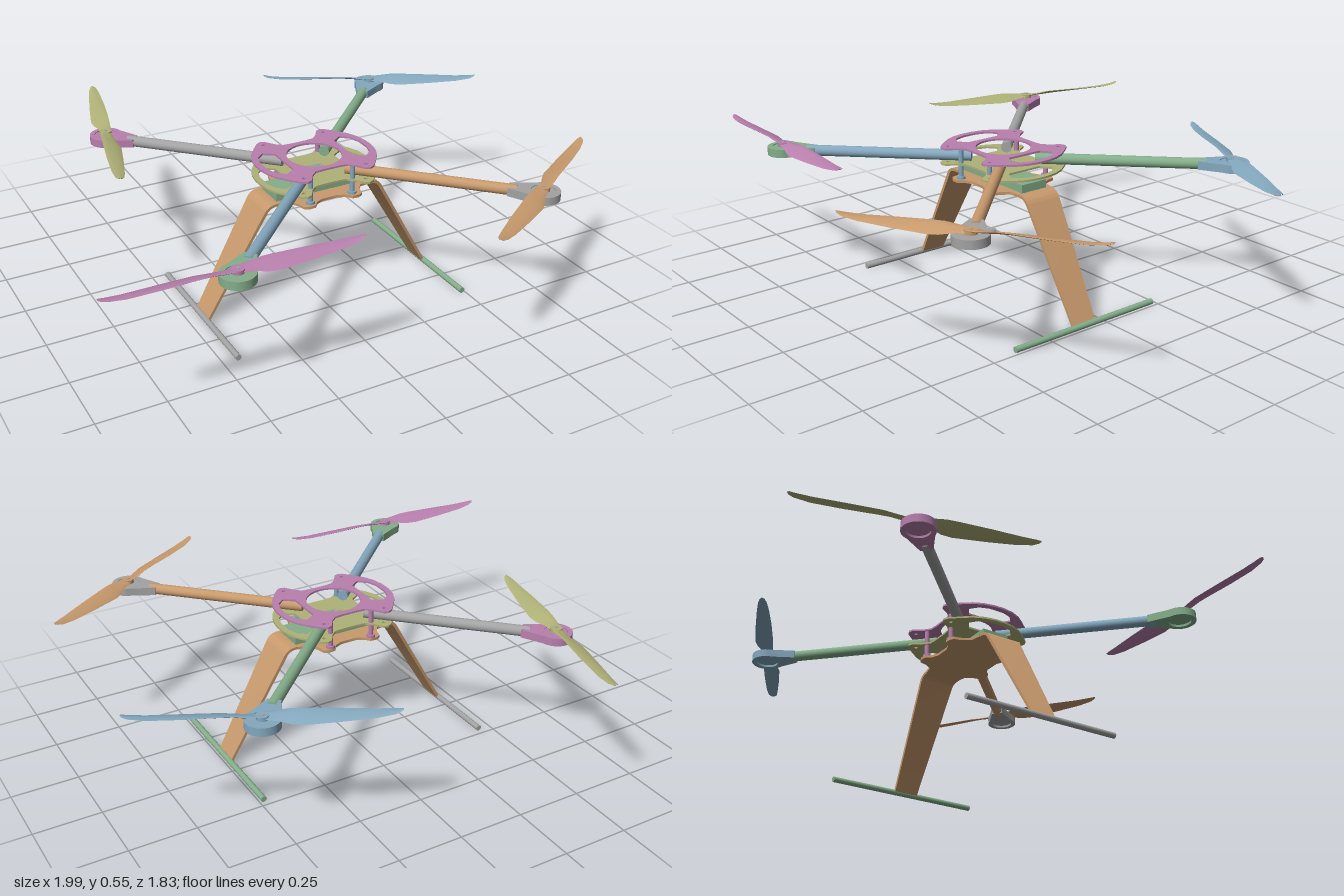
import * as THREE from 'three';
import { toCreasedNormals } from 'three/addons/utils/BufferGeometryUtils.js';

const mat = (name, color) => Object.assign(new THREE.MeshStandardMaterial({ color }), { name });

export function createModel() {
  const pink = mat('pink', 0xb980ae), green = mat('green', 0x84ae8a), blue = mat('blue', 0x84a8be);
  const olive = mat('olive', 0xb0b278), orange = mat('orange', 0xc89a6d), gray = mat('gray', 0xa3a3a3);

  const model = new THREE.Group();
  model.name = 'quadcopter';
  const body = new THREE.Group();
  body.name = 'airframe';
  body.position.set(0.02, 0, 0.085);
  model.add(body);

  const add = (parent, name, geometry, material, x = 0, y = 0, z = 0) => {
    const mesh = new THREE.Mesh(geometry, material);
    mesh.name = name;
    mesh.position.set(x, y, z);
    parent.add(mesh);
    return mesh;
  };
  const cyl = (r, h, n = 20) => new THREE.CylinderGeometry(r, r, h, n);

  // Horizontal plate: shape y becomes z, and the top lies at y = 0
  const plate = (shape, depth) => {
    const g = new THREE.ExtrudeGeometry(shape, { depth, bevelEnabled: false, curveSegments: 16 });
    return toCreasedNormals(g.rotateX(Math.PI / 2), 0.6);
  };
  // Closed outline mirrored from one quarter, running from the x axis to the z axis
  const mirrored = (q) => {
    const back = [...q].reverse();
    return new THREE.Shape([
      ...q, ...back.map(([x, z]) => [-x, z]),
      ...q.map(([x, z]) => [-x, -z]), ...back.map(([x, z]) => [x, -z]),
    ].map(([x, z]) => new THREE.Vector2(x, z)));
  };
  const hole = (shape, x, z, rx, rz = rx) => {
    const p = new THREE.Path();
    p.absellipse(x, z, rx, rz, 0, Math.PI * 2, true);
    shape.holes.push(p);
  };

  // Top and lower frame plates with side windows
  const quarter = [[0.226, 0.02], [0.218, 0.065], [0.2, 0.105], [0.17, 0.145], [0.142, 0.178], [0.125, 0.186],
    [0.108, 0.18], [0.085, 0.145], [0.062, 0.125], [0.03, 0.122]];
  const framePlate = (centreX, centreZ) => {
    const s = mirrored(quarter);
    hole(s, 0, 0, centreX, centreZ);
    for (const sx of [1, -1]) {
      const pts = [[0.122, -0.07], [0.16, -0.095], [0.19, -0.07], [0.203, -0.03], [0.203, 0.03],
        [0.19, 0.07], [0.16, 0.095], [0.122, 0.07]];
      s.holes.push(new THREE.Path(pts.map(([x, z]) => new THREE.Vector2(sx * x, z))));
      for (const sz of [1, -1]) hole(s, sx * 0.125, sz * 0.155, 0.007);
    }
    return plate(s, 0.007);
  };
  add(body, 'topPlate', framePlate(0.1, 0.1), pink, 0, 0.547, 0);
  add(body, 'lowerPlate', framePlate(0.045, 0.025), olive, 0, 0.489, 0);

  // Small circuit board and its chips
  add(body, 'circuitBoard', new THREE.BoxGeometry(0.06, 0.004, 0.045), green, 0.01, 0.493, 0);
  for (const x of [-0.01, 0.03]) add(body, 'chip', new THREE.BoxGeometry(0.014, 0.005, 0.02), gray, x, 0.4965, 0);

  // Battery with end tabs showing through the windows
  add(body, 'battery', new THREE.BoxGeometry(0.37, 0.03, 0.11), green, 0, 0.445, 0.007);

  // Standoff posts
  for (const sx of [1, -1]) for (const sz of [1, -1]) {
    const m = sz > 0 ? blue : pink;
    add(body, 'standoff', cyl(0.009, 0.118), m, sx * 0.085, 0.484, sz * 0.128);
    add(body, 'standoffFoot', cyl(0.016, 0.01), m, sx * 0.085, 0.434, sz * 0.128);
  }

  // Landing gear: bent strip, narrower toward the ground
  const strip = new THREE.Shape();
  strip.moveTo(-0.467, 0.01);
  strip.lineTo(-0.24, 0.405);
  strip.quadraticCurveTo(-0.225, 0.43, -0.195, 0.43);
  strip.lineTo(0.195, 0.43);
  strip.quadraticCurveTo(0.225, 0.43, 0.24, 0.405);
  strip.lineTo(0.467, 0.01);
  strip.lineTo(0.455, 0.01);
  strip.lineTo(0.229, 0.4);
  strip.quadraticCurveTo(0.218, 0.42, 0.193, 0.42);
  strip.lineTo(-0.193, 0.42);
  strip.quadraticCurveTo(-0.218, 0.42, -0.229, 0.4);
  strip.lineTo(-0.455, 0.01);
  strip.closePath();
  const gear = new THREE.ExtrudeGeometry(strip, { depth: 2, bevelEnabled: false, curveSegments: 8 });
  gear.translate(0, 0, -1);
  const gp = gear.attributes.position;
  for (let i = 0; i < gp.count; i++) gp.setZ(i, gp.getZ(i) * (0.049 + 0.055 * gp.getY(i)));
  add(body, 'landingLegs', toCreasedNormals(gear, 0.6), orange, 0, 0, 0.008);
  const deck = mirrored([[0.19, 0.03], [0.185, 0.072], [0.145, 0.08], [0.125, 0.11], [0.118, 0.14], [0.1, 0.15],
    [0.075, 0.148], [0.06, 0.128], [0.03, 0.115]]);
  add(body, 'landingDeck', plate(deck, 0.0102), orange, 0, 0.4301, 0.004);

  // Ground skids
  for (const sx of [1, -1]) {
    add(body, 'skid', cyl(0.011, 0.63), sx > 0 ? green : gray, sx * 0.465, 0.011, 0).rotation.x = Math.PI / 2;
  }

  // Propeller blade lofted from lens sections: radius, straight edge, bulged edge, height, tilt
  const sections = [
    [0, -0.02, 0.02, 0, 0.1], [0.05, -0.022, 0.024, 0, 0.3], [0.09, -0.022, 0.037, 0, 0.4],
    [0.13, -0.022, 0.044, 0, 0.35], [0.25, -0.02, 0.039, 0, 0.25], [0.36, -0.014, 0.031, 0.001, 0.15],
    [0.415, -0.007, 0.025, 0.006, 0.1], [0.434, 0, 0.019, 0.011, 0], [0.44, 0.008, 0.011, 0.014, 0],
  ];
  const bladeGeometry = (side) => {
    const n = 10, pos = [], index = [];
    sections.forEach(([r, a, b, y, tilt], i) => {
      const mid = (a + b) / 2, half = (b - a) / 2, thick = 0.0045 * (1 - 0.6 * r / 0.44);
      for (let j = 0; j < n; j++) {
        const t = j / n * Math.PI * 2, w = half * Math.cos(t);
        pos.push(r, y - tilt * w + thick * Math.sin(t), side * (mid + w));
        if (i === sections.length - 1) continue;
        const k = (j + 1) % n, p = i * n + j, q = i * n + k;
        const tris = [p, p + n, q, q, p + n, q + n];
        index.push(...(side > 0 ? tris : tris.reverse()));
      }
    });
    const g = new THREE.BufferGeometry();
    g.setAttribute('position', new THREE.Float32BufferAttribute(pos, 3));
    g.setIndex(index);
    return toCreasedNormals(g, 0.9);
  };

  // Motor mount: teardrop pod with an open centre
  const pod = new THREE.Shape();
  pod.absarc(0, 0, 0.06, -2.2, 2.2, false);
  pod.lineTo(-0.12, 0.023);
  pod.lineTo(-0.12, -0.023);
  pod.closePath();
  hole(pod, 0, 0, 0.042);
  const podGeometry = plate(pod, 0.03);

  // Four arms: direction, arm, mount and propeller colours, blade angle and handedness
  const arms = [
    [-1, -1, gray, pink, olive, 1.32, -1],
    [1, -1, green, blue, blue, -0.464, 1],
    [-1, 1, blue, green, pink, -0.015, 1],
    [1, 1, orange, gray, orange, 0.566, -1],
  ];
  for (const [sx, sz, armMat, mountMat, propMat, angle, side] of arms) {
    const unit = new THREE.Group();
    unit.name = 'armUnit';
    unit.position.set(sx * 0.58, 0, sz * 0.575);
    unit.rotation.y = Math.atan2(-sz, sx);
    body.add(unit);
    add(unit, 'arm', cyl(0.02, 0.61, 24), armMat, -0.395, 0.508, 0).rotation.z = Math.PI / 2;
    add(unit, 'motorMount', podGeometry, mountMat, 0, 0.522, 0);
    add(unit, 'motor', cyl(0.043, 0.018, 32), mountMat, 0, 0.51, 0);

    const propeller = new THREE.Group();
    propeller.name = 'propeller';
    propeller.position.set(sx * 0.58, 0.531, sz * 0.575);
    propeller.rotation.y = angle;
    body.add(propeller);
    const blade = bladeGeometry(side);
    for (const turn of [0, Math.PI]) add(propeller, 'blade', blade, propMat).rotation.y = turn;
    add(propeller, 'hub', cyl(0.022, 0.014, 24), propMat, 0, -0.002, 0);
    add(propeller, 'shaftTip', cyl(0.006, 0.016, 12), gray, 0, -0.001, 0);
  }
  return model;
}
